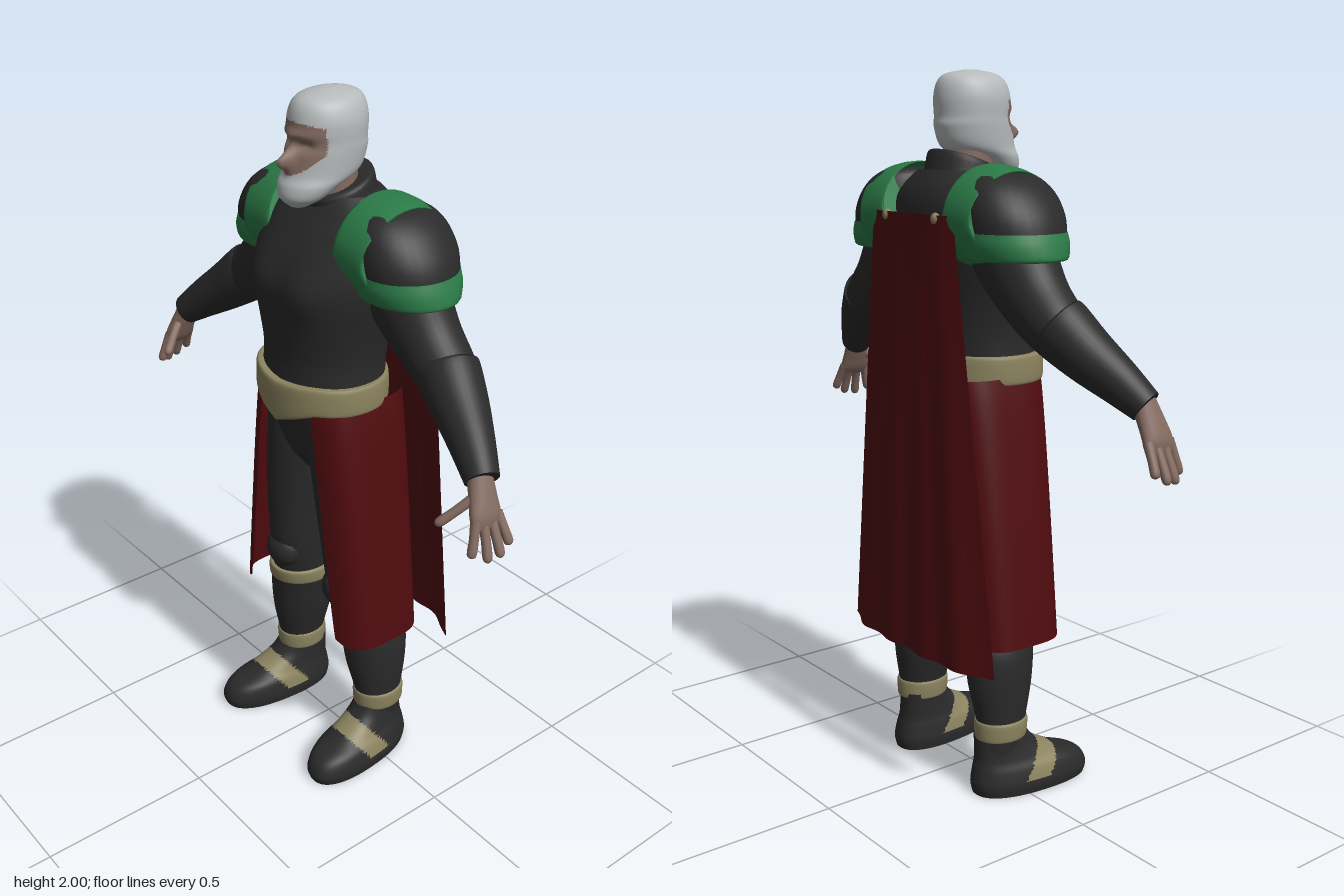
import * as THREE from 'three';

const mat = (name, color, side = THREE.FrontSide) => {
  const m = new THREE.MeshStandardMaterial({ color, side });
  m.name = name;
  return m;
};

// Smooth interpolation of cross-section rows
function refine(rows, steps) {
  const out = [];
  for (let i = 0; i < rows.length - 1; i++) {
    const a = rows[Math.max(i - 1, 0)], b = rows[i], c = rows[i + 1], d = rows[Math.min(i + 2, rows.length - 1)];
    for (let k = 0; k < steps; k++) {
      const t = k / steps;
      out.push(b.map((_, n) => b[n] + 0.5 * t * (c[n] - a[n] + t * (2 * a[n] - 5 * b[n] + 4 * c[n] - d[n]
        + t * (3 * (b[n] - c[n]) + d[n] - a[n])))));
    }
  }
  out.push(rows[rows.length - 1]);
  return out;
}

// Loft through rows [x, y, z, radiusAcross, radiusDepth, tilt]; s = -1 mirrors in x
function loft(rows, { s = 1, path = false, segs = 32, steps = 4, square = 1, deform, paint } = {}) {
  const rings = refine(rows.map(r => [s * r[0], r[1], r[2], r[3], r[4], r[5] || 0]), steps);
  const pos = [], faces = [[], []], n = rings.length;
  const center = r => new THREE.Vector3(r[0], r[1], r[2]);
  const pow = v => Math.sign(v) * Math.abs(v) ** square;
  const pts = rings.map((r, i) => {
    const t = path
      ? center(rings[Math.min(i + 1, n - 1)]).sub(center(rings[Math.max(i - 1, 0)])).normalize()
      : new THREE.Vector3(0, 1, 0);
    const u = new THREE.Vector3(0, 0, 1).addScaledVector(t, -t.z).normalize();
    const v = t.clone().cross(u);
    return Array.from({ length: segs }, (_, j) => {
      const a = j / segs * Math.PI * 2, dz = r[4] * pow(Math.sin(a));
      const p = center(r).addScaledVector(v, r[3] * pow(Math.cos(a))).addScaledVector(u, dz);
      p.y += r[5] * dz;
      if (deform) deform(p);
      return p;
    });
  });
  const add = p => pos.push(p.x, p.y, p.z) / 3 - 1;
  const vec = i => new THREE.Vector3().fromArray(pos, i * 3);
  const tri = (a, b, c) => {
    const m = paint ? paint(vec(a).add(vec(b)).add(vec(c)).divideScalar(3)) : 0;
    faces[m].push(a, b, c);
  };
  pts.forEach(ring => ring.forEach(add));
  for (let i = 0; i < n - 1; i++) for (let j = 0; j < segs; j++) {
    const k = (j + 1) % segs, a = i * segs + j, b = a + segs, c = i * segs + k, d = c + segs;
    tri(a, b, c); tri(c, b, d);
  }
  [0, n - 1].forEach(i => {
    const mid = add(pts[i].reduce((sum, p) => sum.add(p), new THREE.Vector3()).divideScalar(segs));
    const e = pts[i].map(add);
    e.forEach((a, j) => { const b = e[(j + 1) % segs]; i ? tri(mid, b, a) : tri(mid, a, b); });
  });
  const g = new THREE.BufferGeometry();
  g.setAttribute('position', new THREE.Float32BufferAttribute(pos, 3));
  g.setIndex([...faces[0], ...faces[1]]);
  if (paint) {
    g.addGroup(0, faces[0].length, 0);
    g.addGroup(faces[0].length, faces[1].length, 1);
  }
  g.computeVertexNormals();
  return g;
}

// Open cloth sheet from a function of (u, v) in 0..1
function sheet(fn, nu, nv) {
  const g = new THREE.PlaneGeometry(1, 1, nu, nv), p = g.attributes.position, uv = g.attributes.uv;
  for (let i = 0; i < p.count; i++) p.setXYZ(i, ...fn(uv.getX(i), 1 - uv.getY(i)));
  g.computeVertexNormals();
  return g;
}

export function createModel() {
  const model = new THREE.Group();
  model.name = 'capedWarrior';
  const dark = mat('darkSuit', 0x2a2a2b), green = mat('greenTrim', 0x2b7a47), gold = mat('dullGold', 0x8c8460);
  const skin = mat('skin', 0x846b60), white = mat('whiteHair', 0xb6babb);
  const red = mat('redCloth', 0x4f0b0e, THREE.DoubleSide);
  const put = (name, geo, m) => {
    const mesh = new THREE.Mesh(geo, m);
    mesh.name = name;
    model.add(mesh);
    return mesh;
  };
  const bump = (x, y, sx, sy) => Math.exp(-((x / sx) ** 2) - (y / sy) ** 2);
  const mix = THREE.MathUtils.lerp;

  // Torso and pelvis, with the chest muscles pushed forward
  put('torso', loft([
    [0, 0.94, 0, 0.04, 0.08], [0, 1.0, 0, 0.11, 0.12], [0, 1.1, 0.01, 0.16, 0.14], [0, 1.2, 0.02, 0.183, 0.148],
    [0, 1.3, 0.015, 0.183, 0.148], [0, 1.4, 0.012, 0.203, 0.158], [0, 1.5, 0.002, 0.23, 0.168],
    [0, 1.58, -0.015, 0.24, 0.16], [0, 1.65, -0.035, 0.225, 0.14], [0, 1.7, -0.045, 0.18, 0.115], [0, 1.74, -0.045, 0.12, 0.09],
  ], {
    segs: 48, square: 0.92,
    deform: p => { if (p.z > 0) p.z += 0.018 * bump(Math.abs(p.x) - 0.09, p.y - 1.51, 0.07, 0.07); },
  }), dark);
  put('collar', loft([[0, 1.66, -0.045, 0.14, 0.115], [0, 1.71, -0.035, 0.108, 0.1, -0.15],
    [0, 1.755, -0.025, 0.1, 0.095, -0.35], [0, 1.765, -0.025, 0.09, 0.085, -0.35]]), dark);
  put('neck', loft([[0, 1.72, -0.01, 0.07, 0.07], [0, 1.83, 0, 0.07, 0.07]]), skin);

  // Belt with a pointed front
  put('belt', loft([[0, 1.17, 0.024, 0.193, 0.158], [0, 1.18, 0.025, 0.2, 0.165], [0, 1.24, 0.025, 0.2, 0.163],
    [0, 1.25, 0.024, 0.193, 0.156]], {
    segs: 64, square: 0.95,
    deform: p => { if (p.z > 0.05) p.y -= 0.05 * Math.max(0, 1 - Math.abs(p.x) / 0.13) * (1.27 - p.y) / 0.1; },
  }), gold);

  // Head: face opening painted into the hair and beard
  put('head', loft([
    [0, 1.715, 0.1, 0.025, 0.025], [0, 1.738, 0.09, 0.06, 0.058], [0, 1.77, 0.062, 0.08, 0.085], [0, 1.8, 0.025, 0.088, 0.108],
    [0, 1.85, 0.01, 0.093, 0.113], [0, 1.88, 0.006, 0.094, 0.108], [0, 1.93, 0.005, 0.094, 0.109],
    [0, 1.97, 0.003, 0.08, 0.098], [0, 1.99, 0, 0.055, 0.072], [0, 2.0, 0, 0.015, 0.02],
  ], {
    segs: 80, steps: 8,
    deform: p => {
      if (p.z < 0.04) return;
      p.z += 0.04 * bump(p.x, p.y - 1.835, 0.014, 0.022) + 0.012 * bump(p.x, p.y - 1.865, 0.01, 0.025);
      p.z += 0.01 * bump(p.x, p.y - 1.9, 0.06, 0.012);
      p.z -= 0.012 * bump(Math.abs(p.x) - 0.035, p.y - 1.873, 0.02, 0.013);
    },
    paint: p => {
      const x = Math.abs(p.x);
      return p.z > 0.045 && x < 0.078 && p.y < 1.932 - 2 * x * x && p.y > 1.8 + 9 * x * x ? 1 : 0;
    },
  }), [white, skin]);

  // Cape, bowed backwards with soft folds
  put('cape', sheet((u, v) => {
    const k = u * 2 - 1;
    return [k * mix(0.18, 0.333, v), mix(1.63, 0.41, v),
      mix(-0.196, -0.178, v) - mix(0.012, 0.053, v) * (1 - k ** 4) + 0.006 * v * Math.cos(k * 14)];
  }, 40, 24), red);

  for (const s of [1, -1]) {
    const side = s > 0 ? 'left' : 'right';
    const part = (name, rows, m, opt = {}) => put(side + name, loft(rows, { s, ...opt }), m);
    const ball = (name, m, x, y, z, ...size) => {
      const b = put(side + name, new THREE.SphereGeometry(1, 20, 14), m);
      b.position.set(s * x, y, z);
      b.scale.set(...size);
    };

    // Shoulder armour
    part('Pauldron', [[0.255, 1.53, -0.05, 0.138, 0.122], [0.255, 1.57, -0.05, 0.134, 0.132], [0.25, 1.63, -0.05, 0.122, 0.137],
      [0.235, 1.69, -0.05, 0.095, 0.122], [0.215, 1.73, -0.05, 0.06, 0.085], [0.2, 1.745, -0.05, 0.01, 0.02]], dark);
    part('PauldronRim', [[0.255, 1.52, -0.05, 0.14, 0.12], [0.255, 1.527, -0.05, 0.15, 0.128],
      [0.255, 1.56, -0.05, 0.143, 0.138], [0.255, 1.59, -0.05, 0.131, 0.136]], green);
    part('ShoulderStrap', [[0.13, 1.622, -0.05, 0.128, 0.142], [0.14, 1.62, -0.05, 0.138, 0.15], [0.19, 1.62, -0.05, 0.137, 0.151],
      [0.24, 1.61, -0.05, 0.133, 0.15], [0.25, 1.61, -0.05, 0.122, 0.142]], green, { path: true, segs: 40 });
    ball('CapeClasp', gold, 0.11, 1.62, -0.2, 0.016, 0.016, 0.012);

    // Arm and bracer
    part('UpperArm', [[0.19, 1.6, -0.05, 0.11, 0.1], [0.26, 1.51, -0.05, 0.115, 0.1], [0.34, 1.42, -0.05, 0.095, 0.088],
      [0.42, 1.355, -0.045, 0.08, 0.08], [0.48, 1.31, -0.03, 0.06, 0.065]], dark, { path: true });
    part('Bracer', [[0.415, 1.37, -0.05, 0.075, 0.072], [0.425, 1.36, -0.045, 0.086, 0.082], [0.5, 1.3, -0.02, 0.074, 0.073],
      [0.58, 1.24, 0.012, 0.06, 0.058], [0.65, 1.183, 0.042, 0.045, 0.045]], dark, { path: true });

    // Hand
    part('Palm', [[0.64, 1.195, 0.042, 0.028, 0.034], [0.665, 1.14, 0.05, 0.026, 0.042], [0.682, 1.1, 0.055, 0.023, 0.048],
      [0.69, 1.075, 0.055, 0.014, 0.042]], skin, { path: true, segs: 20 });
    const tips = [[0.7, 1.01, 0.115], [0.724, 0.995, 0.08], [0.732, 1.0, 0.043], [0.725, 1.02, 0.008]];
    const finger = (name, a, b) => part(name, [[...a, 0.014, 0.014], ...[0.5, 0.9, 1].map(t =>
      [...a.map((v, n) => mix(v, b[n], t) + (n === 0 ? 0.008 * t * (1 - t) : 0)), t === 1 ? 0.004 : 0.0125, t === 1 ? 0.004 : 0.0125])],
      skin, { path: true, segs: 12, steps: 3 });
    tips.forEach((tip, i) => finger('Finger' + (i + 1), [0.684, 1.1, 0.09 - 0.024 * i], tip));
    finger('Thumb', [0.655, 1.145, 0.075], [0.606, 1.075, 0.15]);

    // Leg with knee pad and bands
    part('Leg', [[0.19, 0.1, -0.042, 0.055, 0.068], [0.19, 0.2, -0.038, 0.061, 0.073], [0.18, 0.32, -0.035, 0.08, 0.096],
      [0.17, 0.42, -0.03, 0.088, 0.102], [0.15, 0.5, -0.015, 0.08, 0.095], [0.135, 0.6, 0, 0.078, 0.1],
      [0.125, 0.75, 0, 0.086, 0.115], [0.11, 0.9, 0, 0.092, 0.125], [0.095, 1.02, 0, 0.092, 0.13],
      [0.085, 1.13, 0.005, 0.08, 0.13]], dark);
    ball('KneePad', dark, 0.135, 0.585, 0.065, 0.062, 0.06, 0.05);
    part('KneeBand', [[0.158, 0.46, -0.022, 0.089, 0.103], [0.157, 0.467, -0.022, 0.095, 0.109],
      [0.152, 0.502, -0.016, 0.092, 0.107], [0.151, 0.509, -0.015, 0.085, 0.1]], gold);
    part('AnkleBand', [[0.19, 0.163, -0.04, 0.062, 0.074], [0.19, 0.17, -0.039, 0.067, 0.079],
      [0.19, 0.212, -0.038, 0.069, 0.08], [0.19, 0.219, -0.038, 0.063, 0.074]], gold);

    // Boot with a slanted strap across the instep
    part('Boot', [[0.2, 0, 0.055, 0.08, 0.18], [0.2, 0.03, 0.055, 0.084, 0.186], [0.198, 0.07, 0.045, 0.077, 0.17],
      [0.195, 0.1, 0.01, 0.065, 0.128], [0.192, 0.14, -0.025, 0.058, 0.09], [0.19, 0.18, -0.04, 0.056, 0.073]],
      [dark, gold], {
        segs: 96, steps: 8, square: 0.85,
        deform: p => { p.x += s * 0.09 * p.z; },
        paint: p => (p.y > 0.04 && Math.abs(p.z - 0.035 - (p.y - 0.05) * 0.75) < 0.04 ? 1 : 0),
      });

    // Skirt panel wrapping the hip
    put(side + 'SkirtPanel', sheet((u, v) => {
      const a = mix(mix(0.5, 0.72, v), 2.7, u), c = Math.cos(a);
      return [s * mix(0.185, 0.285, v ** 0.8) * Math.sin(a) ** 0.8,
        mix(1.19, 0.45, v) + 0.025 * v ** 8 * Math.abs(2 * u - 1) ** 6,
        0.165 * Math.sign(c) * Math.abs(c) ** 0.5 - 0.003];
    }, 40, 20), red);
  }
  return model;
}
